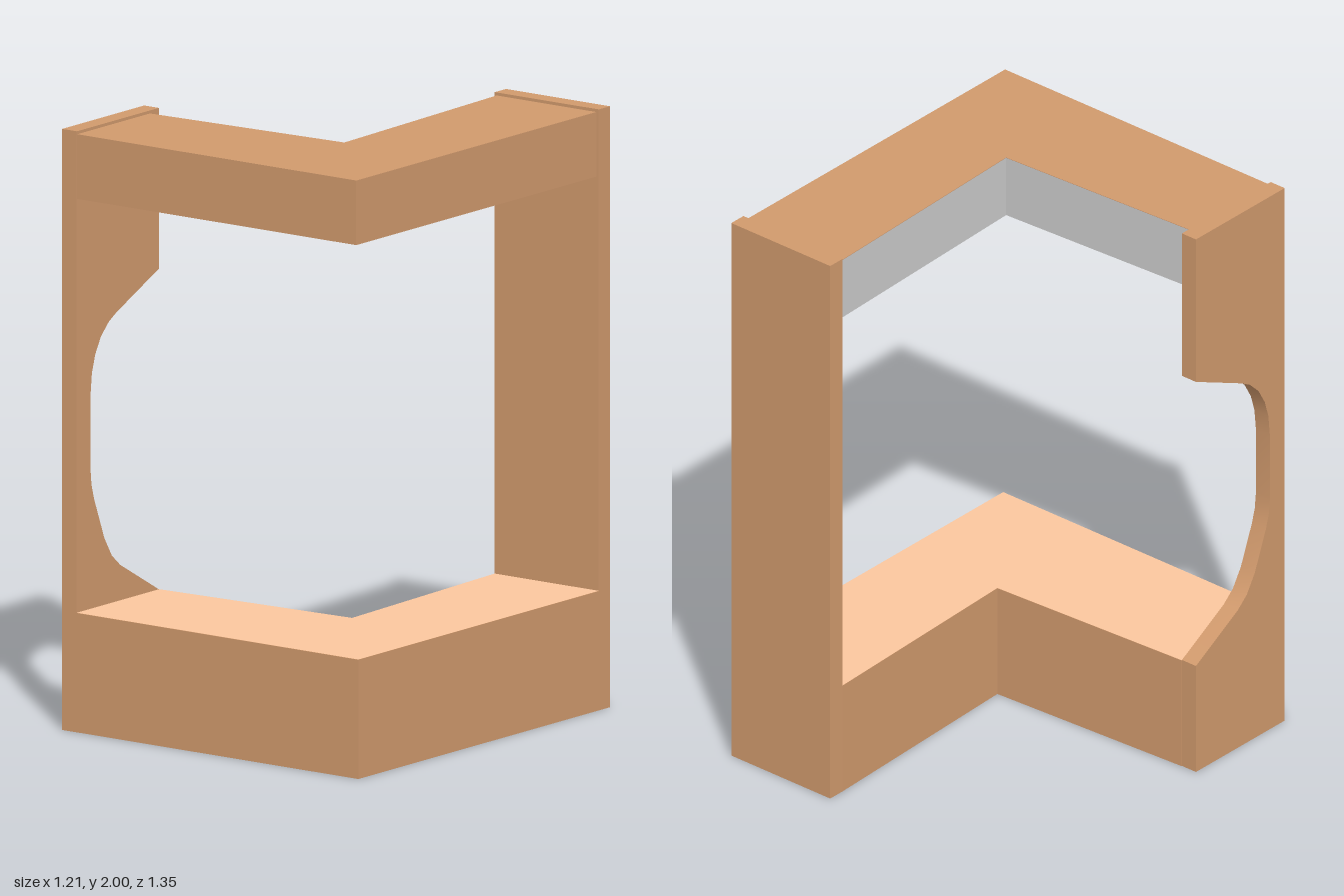
import * as THREE from 'three';
import { toCreasedNormals } from 'three/addons/utils/BufferGeometryUtils.js';

const paint = (color) => new THREE.MeshStandardMaterial({ color });

const LEFT = -0.545; // inner face of the side panel
const BACK = -0.615; // inner face of the back panel

// Floor plan of an L: back arm and front arm meeting at an inner corner; inner = [back, corner, side] as [x, z]
const planL = (right, front, inner) => [[LEFT, front], [right, front], [right, BACK], ...inner];

const toShape = (pts, flip = -1) => new THREE.Shape(pts.map(([a, b]) => new THREE.Vector2(a, flip * b)));

// Extrude an [x, z] plan upwards between two heights
function slab(plan, y0, y1) {
  const geo = new THREE.ExtrudeGeometry(toShape(plan), { depth: y1 - y0, bevelEnabled: false });
  return geo.rotateX(-Math.PI / 2).translate(0, y0, 0);
}

export function createModel() {
  const model = new THREE.Group();
  const wood = paint(0xd19a6d);
  const paleWood = paint(0xfbc79f);
  const grey = paint(0xcccccc);

  const add = (name, geo, material) => {
    const mesh = new THREE.Mesh(geo, material);
    mesh.name = name;
    model.add(mesh);
    return mesh;
  };

  // L-shaped base with a paler top surface
  const basePlan = planL(0.605, 0.673, [[0.18, BACK], [0.213, 0.192], [LEFT, 0.231]]);
  add('base', slab(basePlan, 0, 0.397), wood);
  add('baseTop', new THREE.ShapeGeometry(toShape(basePlan)).rotateX(-Math.PI / 2).translate(0, 0.398, 0), paleWood);

  // L-shaped canopy
  const inner = [[0.188, BACK], [0.22, 0.243], [LEFT, 0.281]];
  add('canopy', slab(planL(0.595, 0.671, inner), 1.775, 1.99), wood);

  // Grey inner faces of the canopy
  for (let i = 0; i < 2; i++) {
    const [ax, az] = inner[i], [bx, bz] = inner[i + 1];
    const dx = bx - ax, dz = bz - az;
    const face = add('canopyInnerFace', new THREE.PlaneGeometry(Math.hypot(dx, dz), 0.215), grey);
    face.position.set((ax + bx) / 2, 1.8825, (az + bz) / 2);
    face.rotation.y = Math.atan2(-dz, dx);
    face.translateZ(0.002);
  }

  // Grey patch under the canopy's corner
  const patch = toShape([[0.595, 0.671], [0.595, -0.14], inner[1], [-0.09, 0.671]], 1);
  add('canopyCornerUnderside', new THREE.ShapeGeometry(patch).rotateX(Math.PI / 2).translate(0, 1.773, 0), grey);

  // Full-height back panel
  add('backPanel', new THREE.BoxGeometry(0.425, 2, 0.06).translate(0.3925, 1, -0.645), wood);

  // Full-height side panel with a curved cut-out, drawn as [z, y]
  const profile = [
    [0.673, 0], [0.233, 0], [0.233, 0.398], [0.44, 0.516], [0.485, 0.555], [0.525, 0.62],
    [0.58, 0.76], [0.594, 0.81], [0.6, 0.87], [0.6, 1.1], [0.592, 1.18], [0.574, 1.24],
    [0.543, 1.295], [0.5, 1.337], [0.46, 1.36], [0.233, 1.465], [0.233, 2], [0.673, 2],
  ];
  const side = new THREE.Shape(profile.map(([z, y]) => new THREE.Vector2(-z, y)));
  const sideGeo = new THREE.ExtrudeGeometry(side, { depth: 0.06, bevelEnabled: false });
  sideGeo.rotateY(Math.PI / 2).translate(-0.605, 0, 0);
  add('sidePanel', toCreasedNormals(sideGeo, 0.45), wood);

  return model;
}
